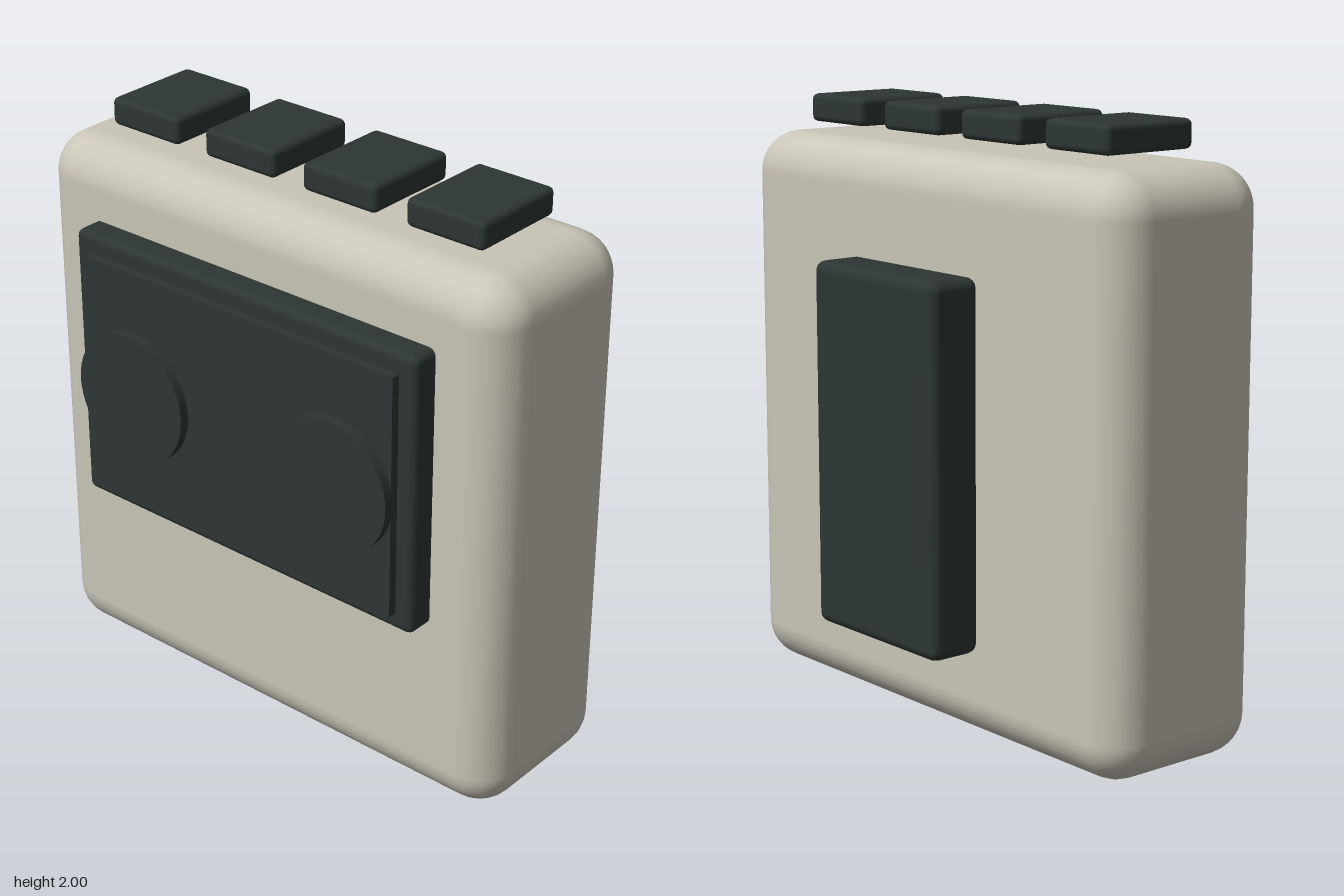
import * as THREE from 'three';
import { RoundedBoxGeometry } from 'three/addons/geometries/RoundedBoxGeometry.js';

export function createModel() {
  const model = new THREE.Group();
  model.name = 'cassettePlayer';

  const shell = new THREE.MeshStandardMaterial({ color: 0xc8c4b6 });
  shell.name = 'warm grey shell';
  const dark = new THREE.MeshStandardMaterial({ color: 0x2d3634 });
  dark.name = 'dark green grey';

  const add = (name, geometry, material, x, y, z) => {
    const mesh = new THREE.Mesh(geometry, material);
    mesh.name = name;
    mesh.position.set(x, y, z);
    model.add(mesh);
    return mesh;
  };

  // Rounded box given by its lower and upper bounds on each axis
  const block = (name, material, [x0, x1], [y0, y1], [z0, z1], radius, segments = 2) =>
    add(name, new RoundedBoxGeometry(x1 - x0, y1 - y0, z1 - z0, segments, radius), material,
      (x0 + x1) / 2, (y0 + y1) / 2, (z0 + z1) / 2);

  // Main case
  block('body', shell, [-0.948, 0.948], [0, 1.873], [-0.301, 0.329], 0.14, 4);

  // Cassette door with its raised window plate
  block('door', dark, [-0.702, 0.698], [0.668, 1.632], [0.25, 0.421], 0.025);
  add('window', new THREE.BoxGeometry(1.276, 0.836, 0.06), dark, -0.002, 1.148, 0.421);

  // Two reels, mirrored on the window
  for (const side of [-1, 1]) {
    const reel = add(side < 0 ? 'rightReel' : 'leftReel',
      new THREE.CylinderGeometry(0.225, 0.225, 0.034, 48), dark, side * 0.419 - 0.002, 1.132, 0.467);
    reel.rotation.x = Math.PI / 2;
  }

  // Row of push buttons hovering over the top
  for (let i = 0; i < 4; i++) {
    const x = 0.004 + (i - 1.5) * 0.403;
    block('button' + (i + 1), dark, [x - 0.145, x + 0.145], [1.906, 2], [-0.164, 0.19], 0.02);
  }

  // Belt clip on the back
  block('beltClip', dark, [-0.315, 0.31], [0.302, 1.51], [-0.484, -0.295], 0.035);

  return model;
}
